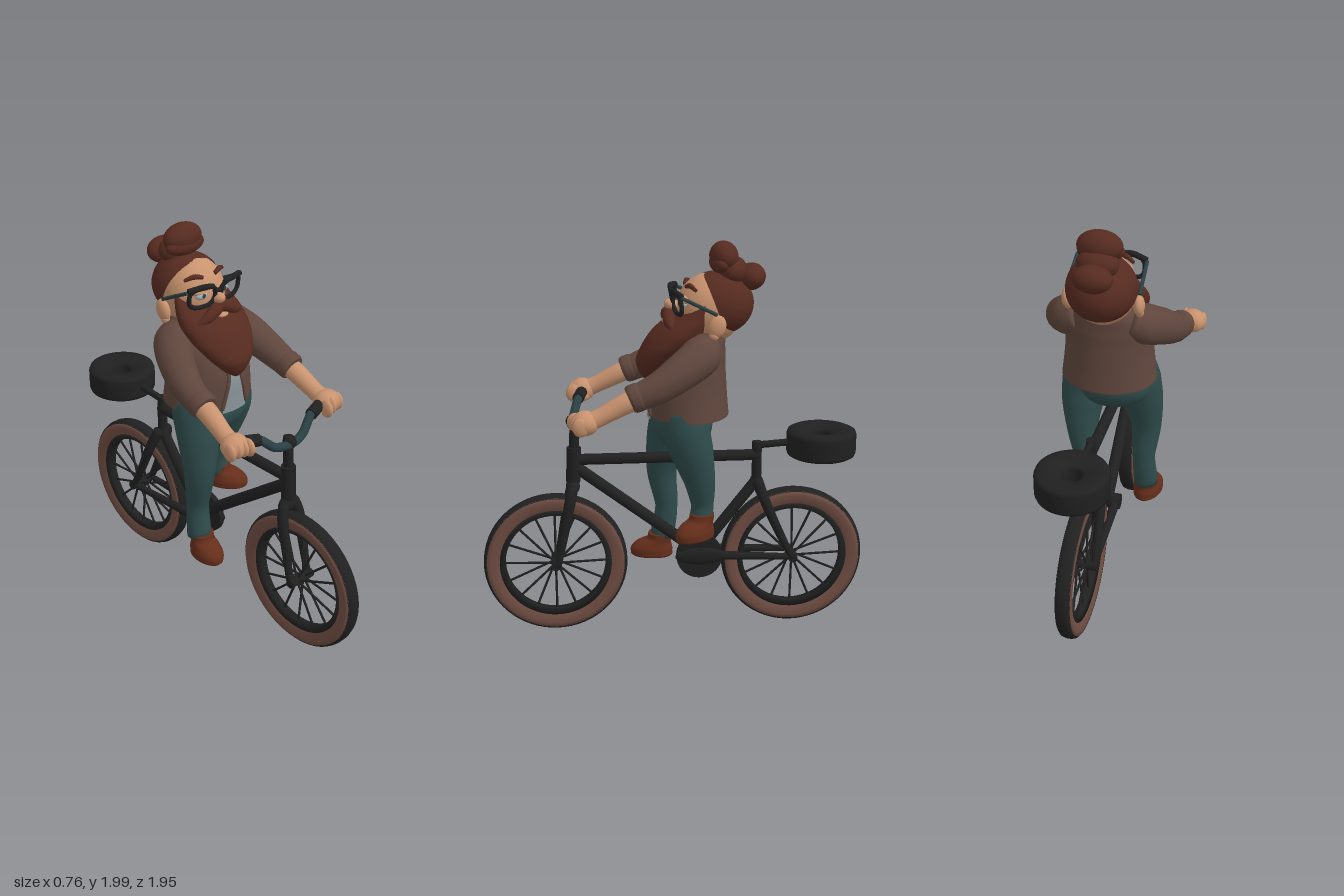
import * as THREE from 'three';
import { mergeVertices } from 'three/addons/utils/BufferGeometryUtils.js';

const V = (p) => new THREE.Vector3(...p);
const paint = (name, color, side = THREE.FrontSide) => {
  const m = new THREE.MeshStandardMaterial({ color, side });
  m.name = name;
  return m;
};

export function createModel() {
  const root = new THREE.Group();
  const skin = paint('skin', 0xc8926e);
  const hair = paint('hair', 0x562b20, THREE.DoubleSide);
  const jacket = paint('jacket brown', 0x5f463d, THREE.DoubleSide);
  const pants = paint('trouser teal', 0x2f4b4b);
  const leather = paint('shoe leather', 0x652e1b);
  const black = paint('black', 0x202020, THREE.DoubleSide);
  const tyre = paint('tyre brown', 0x6f4d42, THREE.DoubleSide);
  const shirt = paint('shirt grey', 0x88949a, THREE.DoubleSide);
  const steel = paint('dark teal steel', 0x2a3f43);
  const eyeGrey = paint('eye grey', 0xaeb9be);

  const add = (name, geo, mat, parent = root) => {
    const m = new THREE.Mesh(geo, mat);
    m.name = name;
    parent.add(m);
    return m;
  };
  const weld = (g) => {
    g.deleteAttribute('uv');
    g.deleteAttribute('normal');
    const w = mergeVertices(g, 1e-5);
    w.computeVertexNormals();
    return w;
  };
  const ball = (name, pos, size, mat, rx = 0, parent = root) => {
    const m = add(name, new THREE.SphereGeometry(1, 28, 18), mat, parent);
    m.position.set(...pos);
    m.scale.set(...size);
    m.rotation.x = rx;
    return m;
  };
  const rod = (name, a, b, r, mat = black, parent = root, r2 = r) => {
    const d = V(b).sub(V(a));
    const m = add(name, new THREE.CylinderGeometry(r2, r, d.length(), 14), mat, parent);
    m.position.copy(V(a)).addScaledVector(d, 0.5);
    m.quaternion.setFromUnitVectors(new THREE.Vector3(0, 1, 0), d.normalize());
    return m;
  };
  // Tapered tube; each point is [x, y, z, radius]
  const limb = (name, pts, mat, parent = root) => {
    const n = 28, sides = 20;
    const curve = new THREE.CatmullRomCurve3(pts.map((p) => V(p.slice(0, 3))));
    const g = new THREE.TubeGeometry(curve, n, 1, sides);
    const pos = g.attributes.position, v = new THREE.Vector3();
    for (let i = 0; i <= n; i++) {
      const c = curve.getPointAt(i / n);
      const t = curve.getUtoTmapping(i / n) * (pts.length - 1);
      const k = Math.min(Math.floor(t), pts.length - 2);
      const r = i % n === 0 ? 0 : THREE.MathUtils.lerp(pts[k][3], pts[k + 1][3], t - k);
      for (let j = 0; j <= sides; j++) {
        const q = i * (sides + 1) + j;
        v.fromBufferAttribute(pos, q).sub(c).multiplyScalar(r).add(c);
        pos.setXYZ(q, v.x, v.y, v.z);
      }
    }
    return add(name, weld(g), mat, parent);
  };
  // Horizontal sections, bottom to top: [y, centre z, half width, half depth, half arc]
  const loft = (name, secs, mat, parent = root, cap = true) => {
    const a = new THREE.CatmullRomCurve3(secs.map((s) => V([s[0], s[1], 0])));
    const b = new THREE.CatmullRomCurve3(secs.map((s) => V([s[2], s[3], s[4] ?? Math.PI])));
    const n = (secs.length - 1) * 6, sides = 40, pos = [], idx = [];
    for (let i = 0; i <= n; i++) {
      const p = a.getPoint(i / n), q = b.getPoint(i / n);
      for (let j = 0; j <= sides; j++) {
        const t = (j / sides * 2 - 1) * q.z;
        pos.push(Math.sin(t) * q.x, p.x, p.y + Math.cos(t) * q.y);
      }
    }
    const w = sides + 1, base = pos.length / 3;
    for (let i = 0; i < n; i++) for (let j = 0; j < sides; j++) {
      const k = i * w + j;
      idx.push(k, k + 1, k + w + 1, k, k + w + 1, k + w);
    }
    if (cap) {
      const e = secs[secs.length - 1];
      pos.push(0, secs[0][0], secs[0][1], 0, e[0], e[1]);
      for (let j = 0; j < sides; j++) idx.push(base, j + 1, j, base + 1, n * w + j, n * w + j + 1);
    }
    const g = new THREE.BufferGeometry();
    g.setAttribute('position', new THREE.Float32BufferAttribute(pos, 3));
    g.setIndex(idx);
    return add(name, weld(g), mat, parent);
  };
  const ring = (name, pts, mat, parent) =>
    add(name, new THREE.LatheGeometry(pts.map((p) => new THREE.Vector2(...p)), 64), mat, parent);

  // Wheels
  for (const s of [1, -1]) {
    const wheel = new THREE.Group();
    wheel.name = s > 0 ? 'frontWheel' : 'rearWheel';
    ring('sidewalls', [[0.28, -0.026], [0.3, -0.035], [0.33, -0.039], [0.353, -0.035], [0.353, 0.035],
      [0.33, 0.039], [0.3, 0.035], [0.28, 0.026]], tyre, wheel);
    ring('tread', [[0.35, -0.037], [0.361, -0.028], [0.366, -0.012], [0.366, 0.012], [0.361, 0.028], [0.35, 0.037]], black, wheel);
    ring('rim', [[0.255, -0.018], [0.285, -0.029], [0.285, 0.029], [0.255, 0.018], [0.255, -0.018]], black, wheel);
    rod('hub', [0, -0.075, 0], [0, 0.075, 0], 0.024, black, wheel);
    for (let i = 0; i < 16; i++) {
      const a = i / 16 * Math.PI * 2, e = i % 2 ? 0.022 : -0.022;
      rod('spoke', [Math.cos(a) * 0.015, e, Math.sin(a) * 0.015],
        [Math.cos(a) * 0.262, 0, Math.sin(a) * 0.262], 0.006, black, wheel);
    }
    wheel.rotation.z = Math.PI / 2;
    wheel.position.set(0, 0.37, 0.608 * s);
    root.add(wheel);
  }

  // Frame
  rod('steeringTube', [0, 0.76, 0.51], [0, 1.14, 0.495], 0.025);
  rod('headTube', [0, 0.8, 0.51], [0, 0.98, 0.502], 0.036);
  rod('topTube', [0, 0.915, 0.5], [0, 0.915, -0.43], 0.028);
  rod('downTube', [0, 0.88, 0.5], [0, 0.42, -0.1], 0.03);
  rod('seatTube', [0, 0.42, -0.14], [0, 0.78, -0.42], 0.028);
  rod('seatPost', [0, 0.76, -0.42], [0, 0.985, -0.42], 0.025);
  rod('saddleArm', [0, 0.965, -0.41], [0, 0.978, -0.6], 0.018);
  ball('forkCrown', [0, 0.775, 0.512], [0.06, 0.04, 0.035], black);
  for (const s of [1, -1]) {
    limb('forkBlade', [[0.03 * s, 0.79, 0.51, 0.028], [0.055 * s, 0.7, 0.53, 0.028],
      [0.058 * s, 0.55, 0.56, 0.024], [0.062 * s, 0.35, 0.6, 0.016]], black);
    limb('seatStay', [[0.02 * s, 0.8, -0.415, 0.03], [0.055 * s, 0.68, -0.46, 0.026],
      [0.06 * s, 0.5, -0.54, 0.022], [0.062 * s, 0.36, -0.61, 0.016]], black);
    rod('chainStay', [0.045 * s, 0.395, -0.14], [0.06 * s, 0.375, -0.61], 0.025, black, root, 0.016);
  }
  // Chain drive
  rod('bottomBracket', [-0.07, 0.4, -0.125], [0.07, 0.4, -0.125], 0.04);
  const chainring = add('chainring', new THREE.CylinderGeometry(0.118, 0.118, 0.03, 40), black);
  chainring.rotation.z = Math.PI / 2;
  chainring.position.set(0.045, 0.395, -0.125);
  ball('crankCover', [0.06, 0.395, -0.13], [0.02, 0.045, 0.13], black);

  // Ring saddle
  ring('saddle', [[0.045, 0.92], [0.06, 0.907], [0.155, 0.905], [0.17, 0.914], [0.176, 0.93], [0.176, 1.02],
    [0.17, 1.036], [0.15, 1.045], [0.11, 1.042], [0.06, 1.025], [0.045, 1.01], [0.045, 0.92]], black).position.z = -0.748;

  // Handlebar
  const bar = [[0.24, 1.197, 0.455], [0.17, 1.18, 0.475], [0.09, 1.118, 0.5], [0, 1.108, 0.515],
    [-0.09, 1.118, 0.5], [-0.17, 1.18, 0.475], [-0.24, 1.197, 0.455]];
  limb('handlebar', bar.map((p) => [...p, 0.022]), steel);
  ball('stemClamp', [0, 1.115, 0.505], [0.033, 0.035, 0.035], black);

  // Trousers and shoes
  ball('hips', [0, 1.1, -0.04], [0.225, 0.14, 0.15], pants);
  limb('rightLeg', [[-0.1, 1.2, -0.04, 0.12], [-0.12, 1.1, -0.01, 0.125], [-0.145, 0.97, 0.025, 0.105],
    [-0.163, 0.8, 0.05, 0.078], [-0.157, 0.6, 0.027, 0.057], [-0.165, 0.45, 0.045, 0.063], [-0.165, 0.4, 0.048, 0.06]], pants);
  limb('leftLeg', [[0.1, 1.2, -0.04, 0.12], [0.125, 1.08, -0.05, 0.12], [0.135, 0.97, -0.08, 0.105],
    [0.13, 0.83, -0.115, 0.078], [0.12, 0.7, -0.13, 0.056], [0.127, 0.63, -0.125, 0.058], [0.13, 0.59, -0.125, 0.055]], pants);
  for (const [name, p, turn] of [['rightShoe', [-0.167, 0.32, 0.105], -0.15], ['leftShoe', [0.158, 0.53, -0.09], 0.6]]) {
    const shoe = loft(name, [[0, 0, 0.055, 0.1], [0.012, 0, 0.072, 0.11], [0.04, 0, 0.073, 0.11], [0.075, -0.012, 0.065, 0.092],
      [0.1, -0.04, 0.06, 0.065], [0.13, -0.045, 0.06, 0.06]], leather);
    shoe.position.set(...p);
    shoe.rotation.y = turn;
  }

  // Jacket and shirt
  loft('jacketBody', [[1.165, -0.07, 0.2, 0.17], [1.15, -0.07, 0.235, 0.2], [1.3, -0.065, 0.218, 0.193],
    [1.45, -0.085, 0.21, 0.167], [1.53, -0.12, 0.175, 0.13], [1.575, -0.145, 0.125, 0.1], [1.595, -0.15, 0.09, 0.07]], jacket);
  loft('shirtFront', [[1.135, -0.07, 0.238, 0.205, 0.33], [1.2, -0.068, 0.232, 0.203, 0.27],
    [1.3, -0.065, 0.222, 0.199, 0.19], [1.4, -0.078, 0.216, 0.184, 0.1]], shirt, root, false);
  for (const s of [1, -1]) {
    limb('lapel', [[0.078 * s, 1.15, 0.122, 0.01], [0.062 * s, 1.22, 0.129, 0.01],
      [0.042 * s, 1.3, 0.13, 0.01], [0.024 * s, 1.4, 0.104, 0.01]], jacket);
    // Arms and hands
    limb('sleeve', [[0.1 * s, 1.51, -0.14, 0.08], [0.175 * s, 1.475, -0.11, 0.1], [0.24 * s, 1.42, -0.02, 0.09],
      [0.28 * s, 1.35, 0.1, 0.076], [0.29 * s, 1.3, 0.22, 0.062], [0.29 * s, 1.295, 0.235, 0.055]], jacket);
    limb('cuff', [[0.289 * s, 1.32, 0.175, 0.064], [0.29 * s, 1.312, 0.195, 0.07],
      [0.291 * s, 1.302, 0.225, 0.069], [0.292 * s, 1.296, 0.24, 0.06]], jacket);
    limb('forearm', [[0.288 * s, 1.32, 0.15, 0.05], [0.294 * s, 1.28, 0.26, 0.05],
      [0.303 * s, 1.225, 0.37, 0.043], [0.31 * s, 1.19, 0.45, 0.045]], skin);
    ball('fist', [0.308 * s, 1.195, 0.45], [0.068, 0.06, 0.066], skin);
    for (let i = 0; i < 4; i++)
      ball('finger', [(0.262 + i * 0.032) * s, 1.188 + (i % 3 ? 0.006 : 0), 0.495 - i * 0.008], [0.02, 0.046, 0.04], skin);
    limb('thumb', [[0.3 * s, 1.18, 0.42, 0.025], [0.265 * s, 1.17, 0.44, 0.025], [0.235 * s, 1.18, 0.47, 0.02]], skin);
    rod('grip', [0.175 * s, 1.182, 0.474], [0.31 * s, 1.205, 0.44], 0.03);
  }

  // Head
  ball('neck', [0, 1.57, -0.17], [0.1, 0.09, 0.09], skin);
  ball('face', [0, 1.675, -0.175], [0.157, 0.172, 0.165], skin);
  ball('nose', [0, 1.692, 0.01], [0.03, 0.028, 0.042], skin, -0.3);
  ball('lowerLip', [0, 1.618, 0.045], [0.03, 0.012, 0.018], skin);
  loft('beard', [[1.325, 0.13, 0.012, 0.015], [1.355, 0.122, 0.055, 0.05], [1.42, 0.1, 0.118, 0.09], [1.5, 0.035, 0.167, 0.12],
    [1.56, -0.02, 0.182, 0.132], [1.61, -0.06, 0.178, 0.115], [1.65, -0.095, 0.165, 0.085], [1.71, -0.135, 0.15, 0.035]], hair);
  const cap = add('hair', new THREE.SphereGeometry(1, 36, 24, 0, Math.PI * 2, 0, 1.68).rotateX(-1.25), hair);
  cap.scale.set(0.168, 0.157, 0.178);
  cap.position.set(0, 1.698, -0.21);
  // Hair knot
  ball('knotTop', [0, 1.925, -0.24], [0.108, 0.073, 0.07], hair, 0.25);
  ball('knotFront', [0, 1.895, -0.222], [0.113, 0.05, 0.052], hair);
  ball('knotMiddle', [0, 1.855, -0.28], [0.1, 0.07, 0.075], hair, 0.5);
  ball('knotBack', [0, 1.825, -0.375], [0.095, 0.065, 0.07], hair, 0.3);

  for (const s of [1, -1]) {
    ball('ear', [0.172 * s, 1.615, -0.19], [0.026, 0.056, 0.042], skin, -0.3);
    ball('earLobe', [0.172 * s, 1.572, -0.175], [0.02, 0.025, 0.024], skin);
    limb('moustache', [[0, 1.652, 0.015, 0.024], [0.035 * s, 1.647, 0.03, 0.032],
      [0.085 * s, 1.618, 0.03, 0.027], [0.145 * s, 1.59, 0.015, 0.008]], hair);
    limb('eyebrow', [[0.035 * s, 1.785, -0.055, 0.01], [0.08 * s, 1.797, -0.068, 0.013], [0.125 * s, 1.78, -0.095, 0.008]], hair);
    ball('eye', [0.066 * s, 1.712, -0.04], [0.036, 0.026, 0.026], eyeGrey);
    ball('pupil', [0.066 * s, 1.712, -0.016], [0.011, 0.012, 0.004], steel);
    ball('eyelid', [0.066 * s, 1.726, -0.044], [0.04, 0.022, 0.027], skin);
    // Spectacles
    const rim = [];
    for (let i = 0; i < 20; i++) {
      const a = i / 20 * Math.PI * 2, c = Math.cos(a), d = Math.sin(a);
      const x = 0.088 + Math.sign(c) * Math.abs(c) ** 0.75 * 0.07;
      rim.push(V([x * s, 1.718 + Math.sign(d) * Math.abs(d) ** 0.75 * 0.053, 0.01 - 1.2 * x * x + d * 0.01]));
    }
    add('spectacleRim', new THREE.TubeGeometry(new THREE.CatmullRomCurve3(rim, true), 60, 0.011, 10, true), black);
    limb('spectacleBrow', [[0.03 * s, 1.765, 0.016, 0.012], [0.09 * s, 1.772, 0.01, 0.015], [0.17 * s, 1.762, -0.02, 0.014]], black);
    rod('spectacleArm', [0.168 * s, 1.757, -0.018], [0.174 * s, 1.672, -0.19], 0.009, steel);
  }
  rod('spectacleBridge', [-0.028, 1.735, 0.012], [0.028, 1.735, 0.012], 0.01);

  return root;
}
